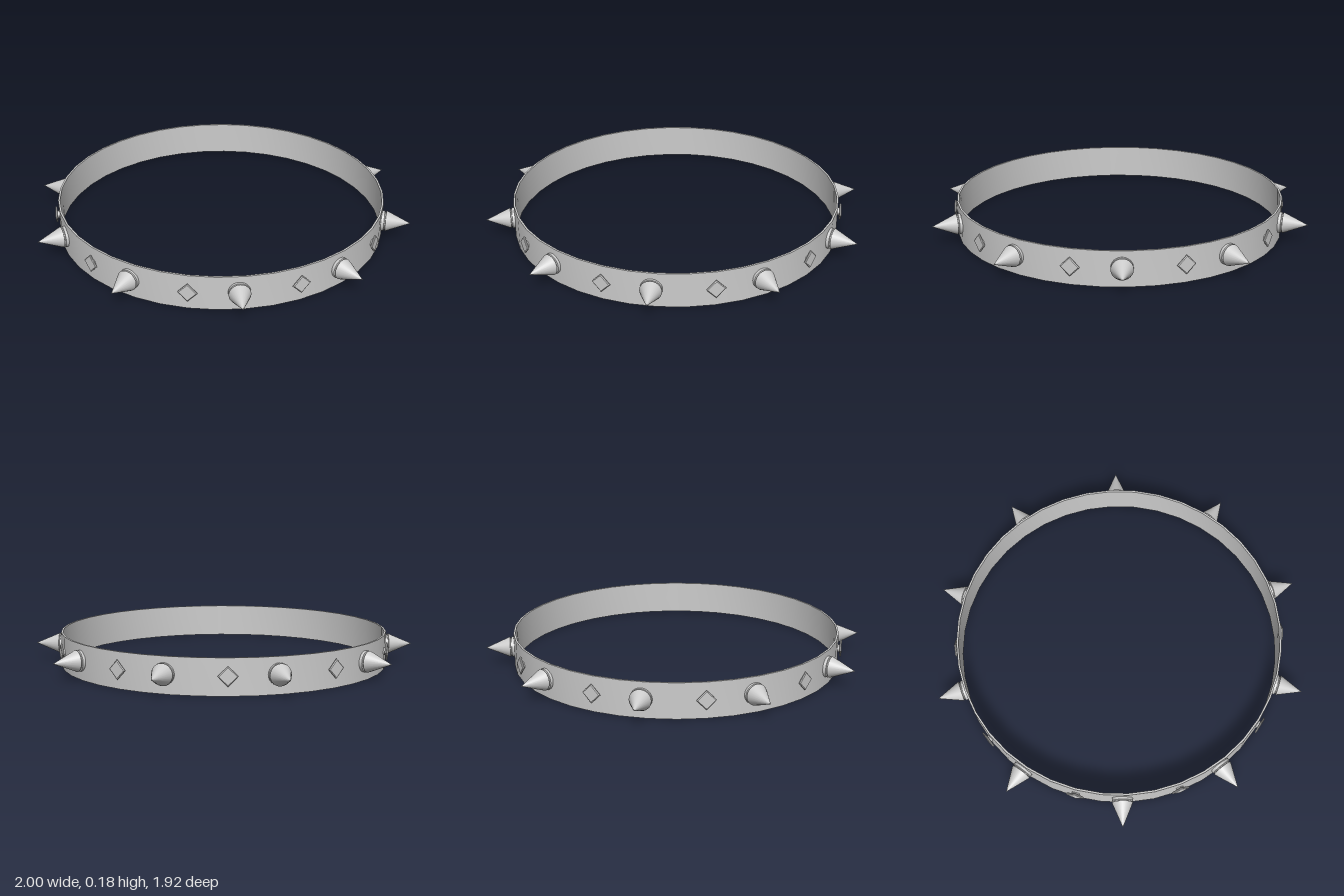
import * as THREE from 'three';
import { toCreasedNormals } from 'three/addons/utils/BufferGeometryUtils.js';

const material = new THREE.MeshStandardMaterial({ color: 0xcccccc });
const MID = 0.095; // height of the stud row
const COUNT = 10;

function lathe(points, segments) {
  const profile = points.map(([r, y]) => new THREE.Vector2(r, y));
  return toCreasedNormals(new THREE.LatheGeometry(profile, segments), 0.6);
}

function part(name, geometry) {
  const mesh = new THREE.Mesh(geometry, material);
  mesh.name = name;
  return mesh;
}

// Repeats a part around the band; its local +z points outwards
function ring(name, geometry, startDegrees) {
  const group = new THREE.Group();
  group.name = name + 's';
  for (let i = 0; i < COUNT; i++) {
    const mesh = part(name, geometry);
    mesh.position.y = MID;
    mesh.rotation.y = THREE.MathUtils.degToRad(startDegrees + i * 360 / COUNT);
    group.add(mesh);
  }
  return group;
}

export function createModel() {
  const model = new THREE.Group();
  model.name = 'spikedBand';

  // Thin open band
  model.add(part('band', lathe([
    [0.845, 0], [0.855, 0], [0.855, 0.178], [0.845, 0.178], [0.845, 0],
  ], 40)));

  // Cone spikes with a collar and a narrow groove at the foot
  const spike = lathe([
    [0, 0.846], [0.053, 0.846], [0.053, 0.866], [0.046, 0.868],
    [0.046, 0.872], [0.053, 0.874], [0.05, 0.882], [0, 1.0],
  ], 24);
  spike.rotateX(Math.PI / 2);
  model.add(ring('spike', spike, 16));

  // Flat diamond studs, slightly bevelled, held just off the band
  const h = 0.042;
  const diamond = new THREE.Shape([
    new THREE.Vector2(h, 0), new THREE.Vector2(0, h),
    new THREE.Vector2(-h, 0), new THREE.Vector2(0, -h),
  ]);
  const plate = new THREE.ExtrudeGeometry(diamond, {
    depth: 0.004, bevelEnabled: true, bevelSize: 0.004, bevelThickness: 0.003, bevelSegments: 1,
  });
  plate.translate(0, 0, 0.866);
  model.add(ring('diamondStud', plate, 0));

  // Short pins joining the diamonds to the band
  const pin = new THREE.CylinderGeometry(0.02, 0.02, 0.02, 12);
  pin.rotateX(Math.PI / 2);
  pin.translate(0, 0, 0.858);
  model.add(ring('studPin', pin, 0));

  return model;
}
